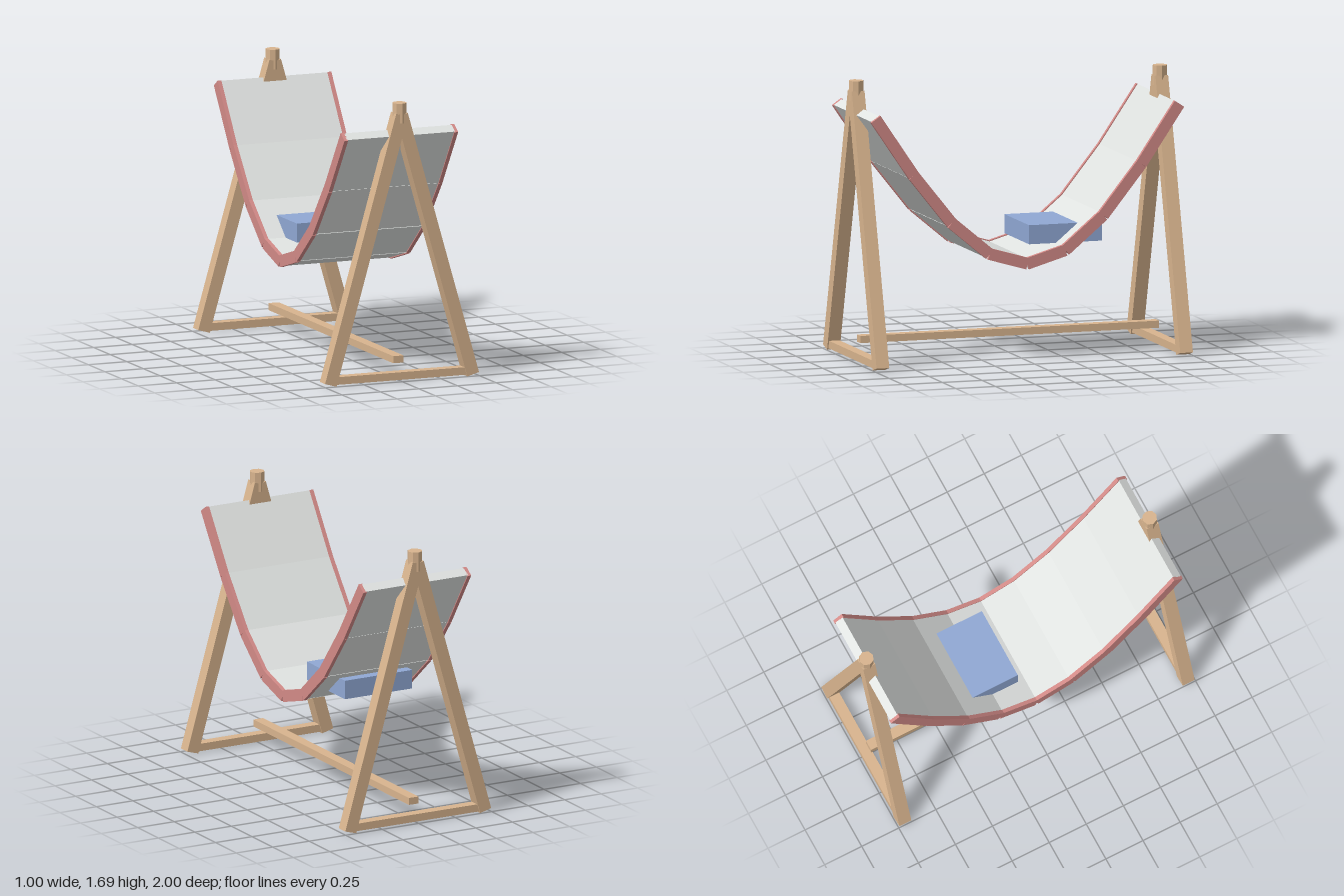
import * as THREE from 'three';

export function createModel() {
  const mat = (name, color) => {
    const m = new THREE.MeshStandardMaterial({ color });
    m.name = name;
    return m;
  };
  const wood = mat('wood', 0xd8b48e);
  const fabric = mat('pale fabric', 0xe0e3e1);
  const trim = mat('rose trim', 0xd28a87);
  const cushion = mat('blue cushion', 0x90a8d4);

  const model = new THREE.Group();
  model.name = 'slingSeat';

  const add = (parent, name, geometry, material, x, y, z) => {
    const mesh = new THREE.Mesh(geometry, material);
    mesh.name = name;
    mesh.position.set(x, y, z);
    parent.add(mesh);
    return mesh;
  };
  const box = (w, h, d) => new THREE.BoxGeometry(w, h, d);

  // A-frames: two leaning legs, a foot bar and a faceted cap
  const foot = new THREE.Vector2(0.462, 0.015);
  const apex = new THREE.Vector2(0, 1.62);
  const legLength = foot.distanceTo(apex);
  const lean = Math.atan2(foot.x, apex.y - foot.y);
  for (const end of [1, -1]) {
    const frame = new THREE.Group();
    frame.name = end > 0 ? 'frontFrame' : 'backFrame';
    frame.position.z = end * 0.955;
    for (const side of [1, -1]) {
      const leg = add(frame, side > 0 ? 'leftLeg' : 'rightLeg', box(0.078, legLength, 0.08),
        wood, side * foot.x / 2, (foot.y + apex.y) / 2, 0);
      leg.rotation.z = side * lean;
    }
    add(frame, 'footBar', box(0.88, 0.046, 0.065), wood, 0, 0.037, 0);
    const capGeo = new THREE.CylinderGeometry(0.045, 0.045, 0.12, 8).toNonIndexed();
    capGeo.computeVertexNormals();
    add(frame, 'cap', capGeo, wood, 0, 1.63, 0);
    model.add(frame);
  }

  // Long rail joining the frames
  add(model, 'stretcher', box(0.066, 0.043, 1.88), wood, 0, 0.13, 0);

  // Sling: straight panels along a sagging curve, with edge trim on both sides
  const sling = new THREE.Group();
  sling.name = 'sling';
  const sag = (i) => {
    const u = i / 4 - 1;
    return new THREE.Vector2(u * 0.955, 1.508 - 0.918 * Math.cos(u * Math.PI / 2));
  };
  for (let i = 0; i < 8; i++) {
    const a = sag(i), b = sag(i + 1);
    const length = a.distanceTo(b);
    const panel = new THREE.Group();
    panel.name = 'panel' + (i + 1);
    panel.position.set(0, (a.y + b.y) / 2, (a.x + b.x) / 2);
    panel.rotation.x = -Math.atan2(b.y - a.y, b.x - a.x);
    add(panel, 'cloth', box(0.7, 0.058, length), fabric, 0, 0, 0);
    for (const side of [1, -1]) {
      add(panel, side > 0 ? 'leftTrim' : 'rightTrim', box(0.024, 0.07, length),
        trim, side * 0.357, 0, 0);
    }
    sling.add(panel);
  }
  model.add(sling);

  // Cushion set into the rear slope of the sling
  add(model, 'cushion', box(0.46, 0.115, 0.46), cushion, 0, 0.742, -0.285);

  return model;
}
